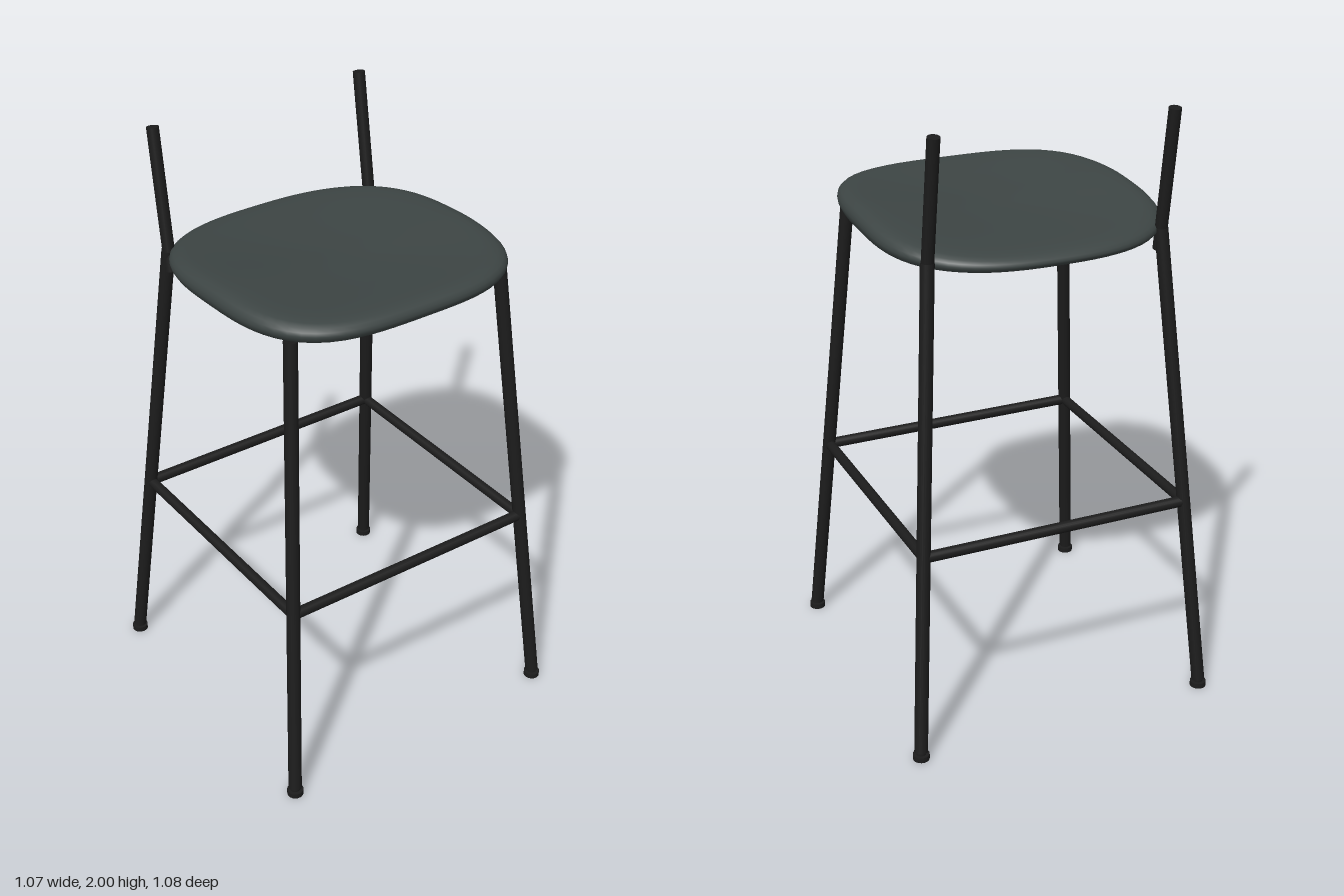
import * as THREE from 'three';
import { mergeVertices } from 'three/addons/utils/BufferGeometryUtils.js';

const frameBlack = new THREE.MeshStandardMaterial({ color: 0x1c1c1c });
frameBlack.name = 'frame black';
const seatGrey = new THREE.MeshStandardMaterial({ color: 0x3d4544 });
seatGrey.name = 'seat grey';

// Round bar between two points
function bar(name, a, b, radius) {
  const from = new THREE.Vector3(...a), to = new THREE.Vector3(...b);
  const dir = to.clone().sub(from);
  const mesh = new THREE.Mesh(new THREE.CylinderGeometry(radius, radius, dir.length(), 20), frameBlack);
  mesh.position.copy(from).add(to).multiplyScalar(0.5);
  mesh.quaternion.setFromUnitVectors(new THREE.Vector3(0, 1, 0), dir.normalize());
  mesh.name = name;
  return mesh;
}

// Upright disc centred on a point
function disc(name, x, y, z, radius, height) {
  const mesh = new THREE.Mesh(new THREE.CylinderGeometry(radius, radius, height, 20), frameBlack);
  mesh.position.set(x, y, z);
  mesh.name = name;
  return mesh;
}

// Turned pad profile (reach, height from underside 0 to top 1), pulled into a rounded square
function seatGeometry() {
  const profile = [
    [0, 0], [0.3, 0], [0.6, 0], [0.85, 0], [0.94, 0.02], [0.98, 0.15], [0.997, 0.35], [1, 0.5],
    [0.994, 0.68], [0.975, 0.83], [0.94, 0.94], [0.89, 1], [0.8, 1], [0.7, 1], [0.55, 1],
    [0.4, 1], [0.25, 1], [0.12, 1], [0, 1],
  ].map(([r, t]) => new THREE.Vector2(r, t));
  let geo = new THREE.LatheGeometry(profile, 80);
  geo.deleteAttribute('uv');
  geo.deleteAttribute('normal');
  geo = mergeVertices(geo, 1e-4);
  const p = geo.attributes.position;
  for (let i = 0; i < p.count; i++) {
    const s = Math.hypot(p.getX(i), p.getZ(i)), t = p.getY(i);
    // The two centre points have no direction of their own, so take the front
    const c = s > 0 ? p.getX(i) / s : 0, d = s > 0 ? p.getZ(i) / s : 1;
    // Squarer towards the front, rounder towards the back
    const n = 3 + 0.3 * d;
    const k = s / Math.pow(Math.abs(c) ** n + Math.abs(d) ** n, 1 / n);
    const x = 0.475 * c * k, z = 0.013 + 0.468 * d * k;
    // Sloping underside, top falling away to the back and lightly dished
    const under = 1.587 + 0.043 * z;
    const back = Math.max(0, 0.1 - z) / 0.55;
    const top = 1.67 - 0.055 * Math.pow(back, 1.4) - 0.03 * Math.pow(1 - Math.min(1, s * s), 2);
    p.setXYZ(i, x, under + (top - under) * t, z);
  }
  geo.computeVertexNormals();
  return geo;
}

export function createModel() {
  const model = new THREE.Group();
  model.name = 'barStool';

  const seat = new THREE.Mesh(seatGeometry(), seatGrey);
  seat.name = 'seat';
  model.add(seat);

  for (const x of [1, -1]) {
    const side = x > 0 ? 'Left' : 'Right';
    for (const z of [1, -1]) {
      const end = z > 0 ? 'front' : 'back';
      // Splayed leg on a small glide
      model.add(bar(`${end}${side}Leg`, [0.508 * x, 0.026, 0.511 * z], [0.39 * x, 1.605, 0.345 * z], 0.022));
      model.add(disc(`${end}${side}GlideStem`, 0.508 * x, 0.02, 0.512 * z, 0.016, 0.03));
      model.add(disc(`${end}${side}Glide`, 0.508 * x, 0.009, 0.512 * z, 0.027, 0.018));
    }
    // Back post and side footrest
    model.add(bar(`back${side}Post`, [0.39 * x, 1.535, -0.335], [0.388 * x, 2, -0.404], 0.02));
    model.add(bar(`side${side}Footrest`, [0.458 * x, 0.685, -0.442], [0.458 * x, 0.685, 0.442], 0.017));
  }

  // Front and back footrests
  for (const z of [1, -1]) {
    model.add(bar(z > 0 ? 'frontFootrest' : 'backFootrest', [-0.458, 0.685, 0.442 * z], [0.458, 0.685, 0.442 * z], 0.018));
  }
  return model;
}
